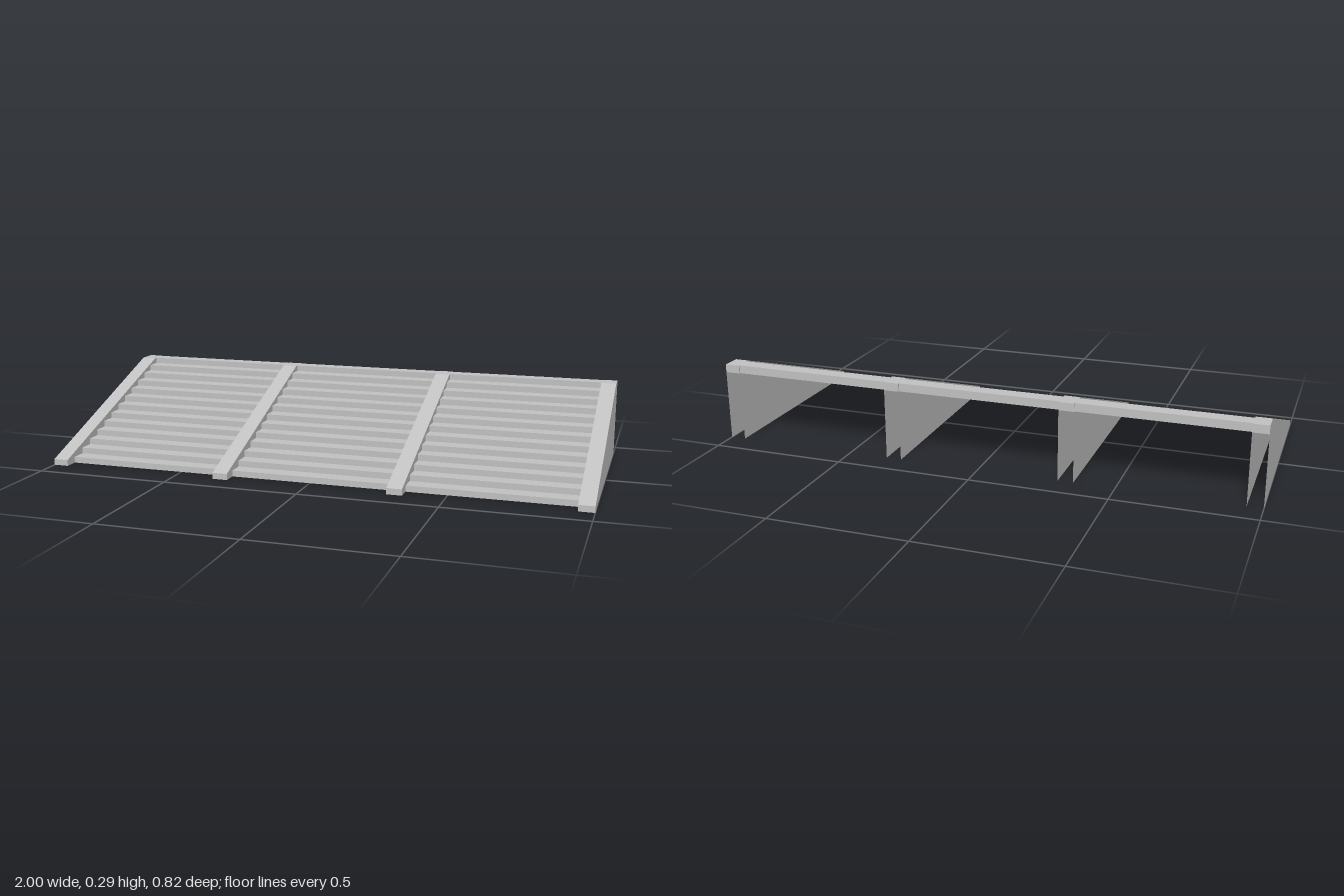
import * as THREE from 'three';

const grey = new THREE.MeshStandardMaterial({ color: 0xc0c0c0, side: THREE.DoubleSide });
grey.name = 'concrete grey';

const STEPS = 13, HEIGHT = 0.29, DEPTH = 0.408, RISE = HEIGHT / STEPS;
const FIRST_Z = 0.357, TREAD = 0.0589, BACK_Z = -0.403, LIP = 0.03;
const WIDTH = 0.056;

// Sheet following a [z, y] profile from front to back, spanning x0..x1
function sheet(profile, x0, x1) {
  const pos = [];
  for (let i = 0; i < profile.length - 1; i++) {
    const [z0, y0] = profile[i], [z1, y1] = profile[i + 1];
    pos.push(x0, y0, z0, x1, y0, z0, x1, y1, z1);
    pos.push(x0, y0, z0, x1, y1, z1, x0, y1, z1);
  }
  const g = new THREE.BufferGeometry();
  g.setAttribute('position', new THREE.Float32BufferAttribute(pos, 3));
  g.computeVertexNormals();
  return g;
}

function add(parent, name, geometry) {
  const m = new THREE.Mesh(geometry, grey);
  m.name = name;
  parent.add(m);
  return m;
}

export function createModel() {
  const model = new THREE.Group();
  model.name = 'wideStaircase';

  // Stair profile: risers and treads, then a short lip down the back
  const stair = [[FIRST_Z, 0]];
  for (let i = 0; i < STEPS; i++) {
    const y = (i + 1) * RISE;
    stair.push([FIRST_Z - i * TREAD, y]);
    stair.push([i === STEPS - 1 ? BACK_Z : FIRST_Z - (i + 1) * TREAD, y]);
  }
  stair.push([BACK_Z, HEIGHT - LIP]);

  // Sloping rail cap: front edge, slope, level top and back lip
  const cap = [[DEPTH, 0], [DEPTH, RISE], [-0.338, HEIGHT], [-DEPTH, HEIGHT], [-DEPTH, HEIGHT - LIP]];

  // Side plate outline, drawn with x pointing to the back
  const side = new THREE.Shape([
    new THREE.Vector2(-DEPTH, 0), new THREE.Vector2(DEPTH, 0),
    new THREE.Vector2(DEPTH, HEIGHT), new THREE.Vector2(0.338, HEIGHT),
    new THREE.Vector2(-DEPTH, RISE),
  ]);
  const plate = new THREE.ShapeGeometry(side).rotateY(Math.PI / 2);

  // Four hollow rails, open at the back and underneath
  const centres = [-0.972, -0.324, 0.324, 0.972];
  centres.forEach((x) => {
    const rail = new THREE.Group();
    rail.name = 'rail';
    rail.position.x = x;
    add(rail, 'railCap', sheet(cap, -WIDTH / 2, WIDTH / 2));
    add(rail, 'leftPlate', plate).position.x = WIDTH / 2;
    const right = add(rail, 'rightPlate', plate);
    right.position.x = -WIDTH / 2;
    right.rotation.y = 0;
    model.add(rail);
  });

  // Three flights of steps between the rails
  for (let i = 0; i < 3; i++) {
    add(model, 'steps', sheet(stair, centres[i] + WIDTH / 2, centres[i + 1] - WIDTH / 2));
  }
  return model;
}
